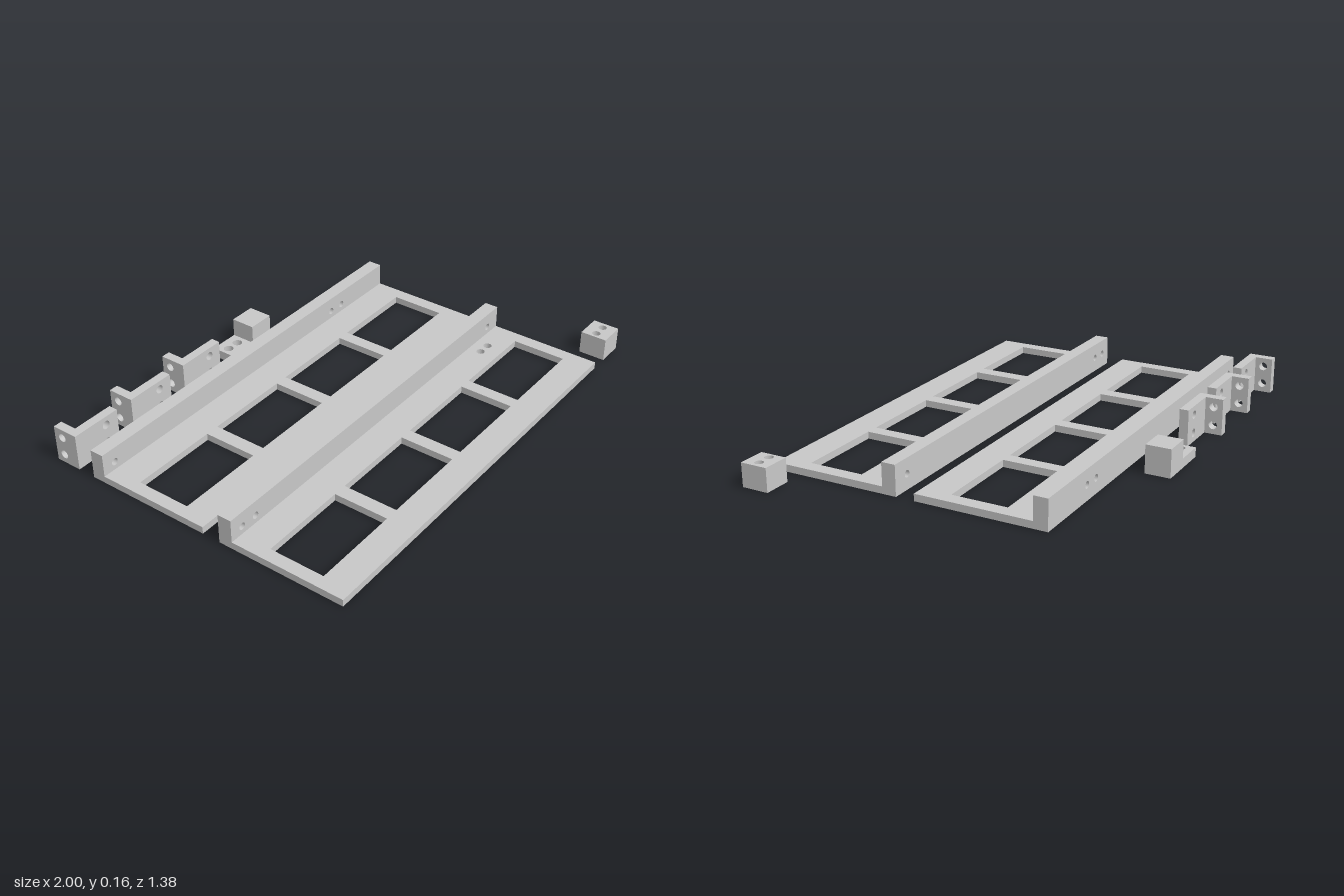
import * as THREE from 'three';

const metal = new THREE.MeshStandardMaterial({ color: 0xc7c7c7 });
metal.name = 'light grey metal';

// Rectangle [u0, v0, u1, v1] with rectangular windows and round holes, extruded
function slab([u0, v0, u1, v1], depth, holes = [], windows = []) {
  const trace = (path, a, b, c, d) => path.moveTo(a, b).lineTo(c, b).lineTo(c, d).lineTo(a, d).closePath();
  const shape = new THREE.Shape();
  trace(shape, u0, v0, u1, v1);
  for (const w of windows) {
    const p = new THREE.Path();
    trace(p, ...w);
    shape.holes.push(p);
  }
  for (const [u, v, r] of holes) {
    shape.holes.push(new THREE.Path().absarc(u, v, r, 0, Math.PI * 2, true));
  }
  return new THREE.ExtrudeGeometry(shape, { depth, bevelEnabled: false, curveSegments: 16 });
}

function add(group, name, geometry) {
  const mesh = new THREE.Mesh(geometry, metal);
  mesh.name = name;
  group.add(mesh);
}

// Horizontal slab: bounds and holes in x, z; rises from y = 0
function flat(x0, z0, x1, z1, height, holes = [], windows = []) {
  return slab([x0, -z1, x1, -z0], height,
    holes.map(([x, z, r]) => [x, -z, r]),
    windows.map(([a, b, c, d]) => [a, -d, c, -b])).rotateX(-Math.PI / 2);
}

// Long rail: windowed base plate with an upright wall along its back edge
function rail(name, back, wallHoles, plateHoles) {
  const g = new THREE.Group();
  g.name = name;
  const wallFront = back + 0.06;
  const windows = [[-0.945, -0.565], [-0.505, -0.128], [-0.07, 0.31], [0.365, 0.745]]
    .map(([a, b]) => [a, back + 0.193, b, back + 0.43]);
  add(g, 'basePlate', flat(-1, wallFront, 0.803, back + 0.555, 0.03,
    plateHoles.map(x => [x, back + 0.115, 0.018]), windows));
  add(g, 'railWall', slab([-1, 0, 0.803, 0.128], 0.06,
    wallHoles.map(x => [x, 0.064, 0.015])).translate(0, 0, back));
  return g;
}

// Upright L bracket with two holes in each leg
function bracket(x) {
  const g = new THREE.Group();
  g.name = 'angleBracket';
  const ys = [0.039, 0.118];
  add(g, 'wideLeg', slab([x, 0, x + 0.223, 0.156], 0.039,
    ys.map(y => [x + 0.16, y, 0.018])).translate(0, 0, -0.616));
  add(g, 'shortLeg', slab([0.616, 0, 0.692, 0.156], 0.039,
    ys.map(y => [0.652, y, 0.018])).rotateY(Math.PI / 2).translate(x, 0, 0));
  return g;
}

export function createModel() {
  const model = new THREE.Group();
  model.name = 'railKit';

  model.add(rail('frontRail', 0.136, [-0.94, -0.865, 0.725], [0.585, 0.642]));
  model.add(rail('backRail', -0.498, [-0.94, 0.425, 0.5], []));
  for (const x of [-1, -0.698, -0.395]) model.add(bracket(x));

  // Stepped block with a drilled foot
  const stop = new THREE.Group();
  stop.name = 'steppedBlock';
  add(stop, 'blockFoot', flat(-0.09, -0.685, 0.043, -0.577, 0.04,
    [[-0.055, -0.632, 0.021], [0.003, -0.632, 0.021]]));
  add(stop, 'blockBody', flat(0.043, -0.685, 0.162, -0.577, 0.12));
  model.add(stop);

  // Small drilled block
  add(model, 'drilledBlock', flat(0.882, 0.575, 1, 0.691, 0.1,
    [[0.91, 0.632, 0.018], [0.968, 0.632, 0.018]]));

  return model;
}
